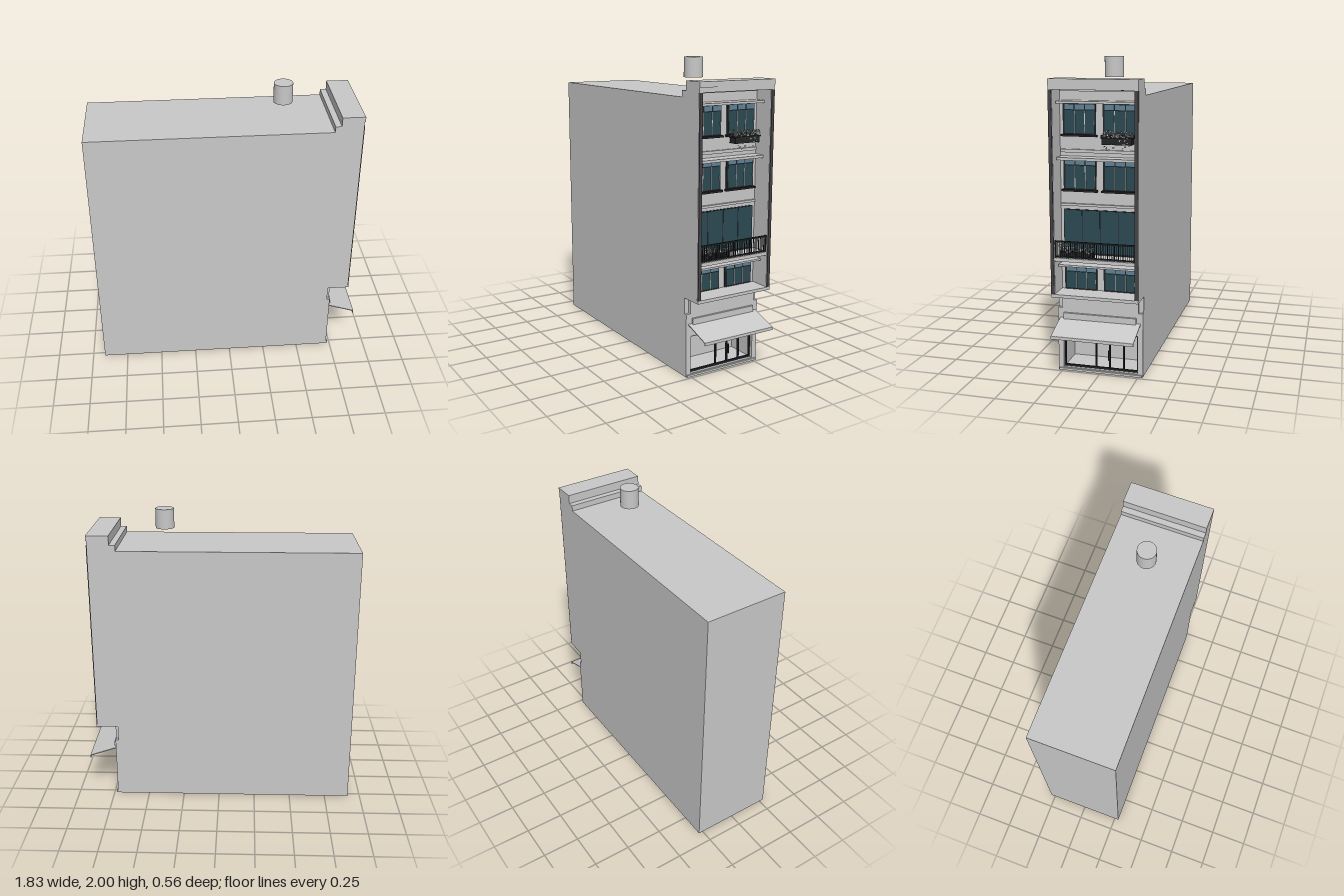
import * as THREE from 'three';

const mat = (name, color, side = THREE.FrontSide) => {
  const m = new THREE.MeshStandardMaterial({ color, side });
  m.name = name;
  return m;
};

export function createModel() {
  const root = new THREE.Group();
  root.name = 'townhouse';
  const wall = mat('pale wall', 0xc8c8c8);
  const strip = mat('charcoal trim', 0x454246);
  const frame = mat('dark frame', 0x232427);
  const glass = mat('teal glass', 0x2c4a52);
  const transom = mat('blue transom glass', 0x5f8296);
  const leaf = mat('grey green leaves', 0x9da39c, THREE.DoubleSide);

  // Box given by its limits on each axis
  const box = (name, m, x0, x1, y0, y1, z0, z1, parent = root) => {
    const mesh = new THREE.Mesh(new THREE.BoxGeometry(x1 - x0, y1 - y0, z1 - z0), m);
    mesh.position.set((x0 + x1) / 2, (y0 + y1) / 2, (z0 + z1) / 2);
    mesh.name = name;
    parent.add(mesh);
    return mesh;
  };
  const group = (name) => {
    const g = new THREE.Group();
    g.name = name;
    root.add(g);
    return g;
  };
  const W = 0.28, F = 0.705; // half width, plane of the recessed facade

  // Main block with stepped roof and the shop hollow at the front
  const shape = new THREE.Shape([
    [-0.915, 0], [0.5, 0], [0.5, 0.28], [F, 0.28], [F, 1.815],
    [0.665, 1.815], [0.665, 1.775], [-0.915, 1.775],
  ].map(([x, y]) => new THREE.Vector2(x, y)));
  const core = new THREE.Mesh(
    new THREE.ExtrudeGeometry(shape, { depth: 2 * W, bevelEnabled: false }), wall);
  core.position.z = -W;
  core.name = 'mainBlock';
  root.add(core);

  // Projecting frame around the upper floors
  box('parapetCap', wall, F, 0.853, 1.84, 1.875, -W, W);
  box('parapetBase', wall, F, 0.847, 1.81, 1.84, -W, W);
  box('frameFloor', wall, F, 0.853, 0.525, 0.545, -W, W);
  for (const s of [-1, 1]) {
    const a = s * 0.255, b = s * W;
    box('frameSide', wall, F, 0.845, 0.545, 1.81, Math.min(a, b), Math.max(a, b));
    const c = s * 0.257, d = s * 0.278;
    box('frameSideTrim', strip, 0.844, 0.852, 0.545, 1.81, Math.min(c, d), Math.max(c, d));
  }
  for (let i = -1; i <= 1; i++) {
    box('ceilingLight', frame, 0.77, 0.785, 1.805, 1.811, i * 0.165 - 0.007, i * 0.165 + 0.007);
  }

  // Sunshades and mouldings across the facade
  for (const [y0, y1, x1] of [[1.725, 1.74, 0.79], [1.38, 1.397, 0.79], [0.71, 0.722, 0.79],
    [1.42, 1.44, 0.718], [1.085, 1.1, 0.72], [1.795, 1.81, 0.72]]) {
    box('facadeLedge', wall, F, x1, y0, y1, -0.25, 0.25);
  }

  // Three-pane window with a transom row
  const addWindow = (zc, y0, y1, sill) => {
    const g = group('window');
    const h = 0.106, yt = y1 - 0.037;
    box('windowFrame', frame, F, 0.711, y0, y1, zc - h, zc + h, g);
    for (let i = 0; i < 3; i++) {
      const z0 = zc - h + 0.007 + i * 0.066, z1 = z0 + 0.06;
      box('pane', glass, F, 0.714, y0 + 0.01, yt - 0.004, z0, z1, g);
      box('transomPane', transom, F, 0.714, yt + 0.002, y1 - 0.005, z0, z1, g);
      if (i) box('mullion', wall, F, 0.717, y0 + 0.008, yt - 0.004, z0 - 0.005, z0 - 0.001, g);
    }
    box('windowHandle', wall, F, 0.72, (y0 + yt) / 2 - 0.012, (y0 + yt) / 2 + 0.012,
      zc - h + 0.008, zc - h + 0.012, g);
    if (sill) box('windowSill', frame, F, 0.73, y0 - 0.01, y0 + 0.002, zc - h - 0.008, zc + h + 0.008, g);
  };
  for (const z of [-0.128, 0.128]) {
    addWindow(z, 1.53, 1.72, true);
    addWindow(z, 1.187, 1.38, true);
    addWindow(z, 0.545, 0.7, false);
  }

  // Wide balcony window
  box('balconyWindowFrame', frame, F, 0.711, 0.775, 1.063, -0.236, 0.236);
  for (let i = 0; i < 4; i++) {
    const z = -0.232 + i * 0.1165;
    box('balconyPane', glass, F, 0.714, 0.79, 1.058, z, z + 0.1125);
  }

  // Balcony slab and railing
  box('balconySlab', wall, F, 0.84, 0.755, 0.777, -0.255, 0.255);
  const rail = group('balconyRailing');
  box('topRail', frame, 0.828, 0.84, 0.877, 0.886, -0.255, 0.255, rail);
  box('bottomRail', frame, 0.83, 0.838, 0.782, 0.79, -0.255, 0.255, rail);
  for (let i = 0; i <= 36; i++) {
    const z = -0.25 + i * 0.5 / 36, t = i % 9 ? 0.0017 : 0.004;
    box('baluster', frame, 0.834 - t, 0.834 + t, 0.777, 0.88, z - t, z + t, rail);
  }

  // Leaves scattered in a box, from a small seeded generator
  let seed = 7;
  const rnd = () => (seed = (seed * 16807) % 2147483647) / 2147483647;
  const leafGeo = new THREE.CircleGeometry(0.009, 5);
  leafGeo.scale(0.6, 1, 1);
  const plant = (name, n, x0, x1, y0, y1, z0, z1) => {
    const g = group(name);
    for (let i = 0; i < n; i++) {
      const m = new THREE.Mesh(leafGeo, leaf);
      m.name = 'leaf';
      m.position.set(x0 + rnd() * (x1 - x0), y0 + rnd() * (y1 - y0), z0 + rnd() * (z1 - z0));
      m.rotation.set(rnd() * 6, rnd() * 6, rnd() * 6);
      g.add(m);
    }
  };
  box('balconyPlanter', frame, 0.79, 0.82, 0.777, 0.815, 0.015, 0.23);
  plant('balconyPlants', 130, 0.785, 0.828, 0.815, 0.86, 0.015, 0.232);

  // Flower box below the upper window
  box('flowerBox', frame, 0.725, 0.785, 1.482, 1.525, -0.22, -0.035);
  box('flowerBoxRim', frame, 0.72, 0.79, 1.517, 1.525, -0.226, -0.03);
  plant('flowers', 120, 0.725, 0.79, 1.525, 1.56, -0.222, -0.032);
  plant('trailingLeaves', 14, 0.785, 0.792, 1.45, 1.52, -0.21, -0.05);

  // Shop walls, floor and lintel
  for (const s of [-1, 1]) {
    const a = s * 0.245, b = s * W;
    box('shopSideWall', wall, 0.5, 0.725, 0, 0.42, Math.min(a, b), Math.max(a, b));
  }
  box('shopFloor', wall, 0.5, 0.725, 0, 0.02, -0.245, 0.245);
  box('doorStep', wall, 0.72, 0.735, 0, 0.014, -0.275, 0.275);
  box('shopLintel', wall, F - 0.01, 0.725, 0.27, 0.525, -0.25, 0.25);
  box('awningCassette', wall, 0.72, 0.74, 0.345, 0.39, -0.238, 0.238);

  // Shopfront frames and door handles
  const shop = group('shopfront');
  box('shopBottomFrame', frame, 0.69, 0.705, 0.02, 0.031, -0.245, 0.245, shop);
  box('shopTopFrame', frame, 0.69, 0.705, 0.259, 0.27, -0.245, 0.245, shop);
  for (const z of [0.241, 0.034, -0.056, -0.15, -0.241]) {
    box('shopMullion', frame, 0.69, 0.705, 0.02, 0.27, z - 0.004, z + 0.004, shop);
  }
  for (const z of [-0.049, -0.063]) {
    box('doorHandle', frame, 0.705, 0.715, 0.085, 0.15, z - 0.002, z + 0.002, shop);
  }

  // Sloping awning with a short valance
  const dx = 0.185, dy = -0.063;
  const awning = box('awning', wall, -Math.hypot(dx, dy) / 2, Math.hypot(dx, dy) / 2,
    -0.003, 0.003, -0.265, 0.265);
  awning.position.set(0.725 + dx / 2, 0.352 + dy / 2, 0);
  awning.rotation.z = Math.atan2(dy, dx);
  box('awningValance', wall, 0.907, 0.912, 0.272, 0.291, -0.265, 0.265);

  // Roof tank
  const tank = new THREE.Mesh(new THREE.CylinderGeometry(0.062, 0.062, 0.13, 32), wall);
  tank.position.set(0.368, 1.935, 0);
  tank.name = 'roofTank';
  root.add(tank);

  return root;
}
